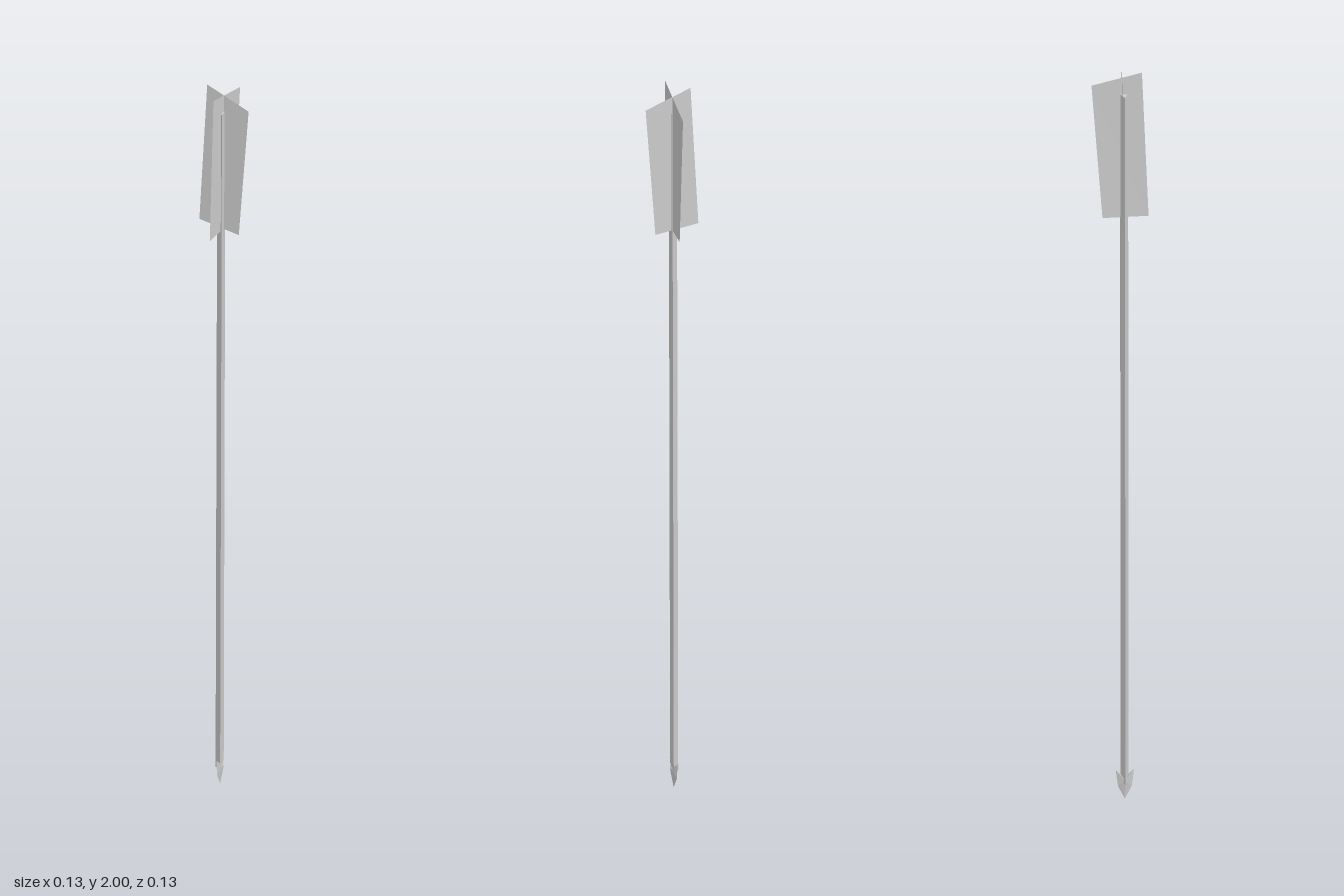
import * as THREE from 'three';

const material = new THREE.MeshStandardMaterial({
  color: 0xcccccc, flatShading: true, side: THREE.DoubleSide,
});

// Mesh from corner points and triangles that index them
function facetMesh(name, points, triangles) {
  const geometry = new THREE.BufferGeometry();
  geometry.setAttribute('position', new THREE.Float32BufferAttribute(points.flat(), 3));
  geometry.setIndex(triangles.flat());
  const flat = geometry.toNonIndexed();
  flat.computeVertexNormals();
  const mesh = new THREE.Mesh(flat, material);
  mesh.name = name;
  return mesh;
}

export function createModel() {
  const arrow = new THREE.Group();
  arrow.name = 'arrow';

  // Three-sided shaft with a very slight lean
  const bottom = 0.045, top = 1.94, length = top - bottom;
  const shaftGeometry = new THREE.CylinderGeometry(0.0108, 0.0108, length, 3, 1, false, -Math.PI / 2);
  shaftGeometry.translate(0, (top + bottom) / 2, 0);
  const position = shaftGeometry.attributes.position;
  for (let i = 0; i < position.count; i++) {
    const t = (position.getY(i) - bottom) / length;
    position.setX(i, position.getX(i) - 0.008 + 0.004 * t);
    position.setZ(i, position.getZ(i) + 0.0105 - 0.001 * t);
  }
  shaftGeometry.computeVertexNormals();
  const shaft = new THREE.Mesh(shaftGeometry, material);
  shaft.name = 'shaft';
  arrow.add(shaft);

  // Barbed head: a flat blade with a raised ridge on both faces
  const head = facetMesh('head', [
    [0, 0, 0],                                // tip
    [0, 0.035, 0.016], [0, 0.035, -0.016],    // blade edges
    [0, 0.08, 0.021], [0, 0.08, -0.021],      // barbs
    [0.008, 0.055, 0], [-0.008, 0.055, 0],    // ridge ends
  ], [
    [0, 5, 1], [1, 5, 3], [0, 2, 5], [2, 4, 5],
    [0, 1, 6], [1, 3, 6], [0, 6, 2], [2, 6, 4],
    [3, 5, 6], [4, 6, 5],
  ]);
  head.position.set(-0.007, 0, 0.0105);
  arrow.add(head);

  // Two crossed, slightly slanted fletching vanes
  const quad = [[0, 1, 2], [0, 2, 3]];
  arrow.add(facetMesh('sideVane', [
    [-0.065, 1.605, 0], [0.04, 1.6, 0.01], [0.065, 1.965, 0.01], [-0.045, 2, 0],
  ], quad));
  arrow.add(facetMesh('frontVane', [
    [-0.007, 1.605, 0.065], [0.003, 1.6, -0.04], [0.007, 1.965, -0.065], [-0.005, 2, 0.05],
  ], quad));

  return arrow;
}
